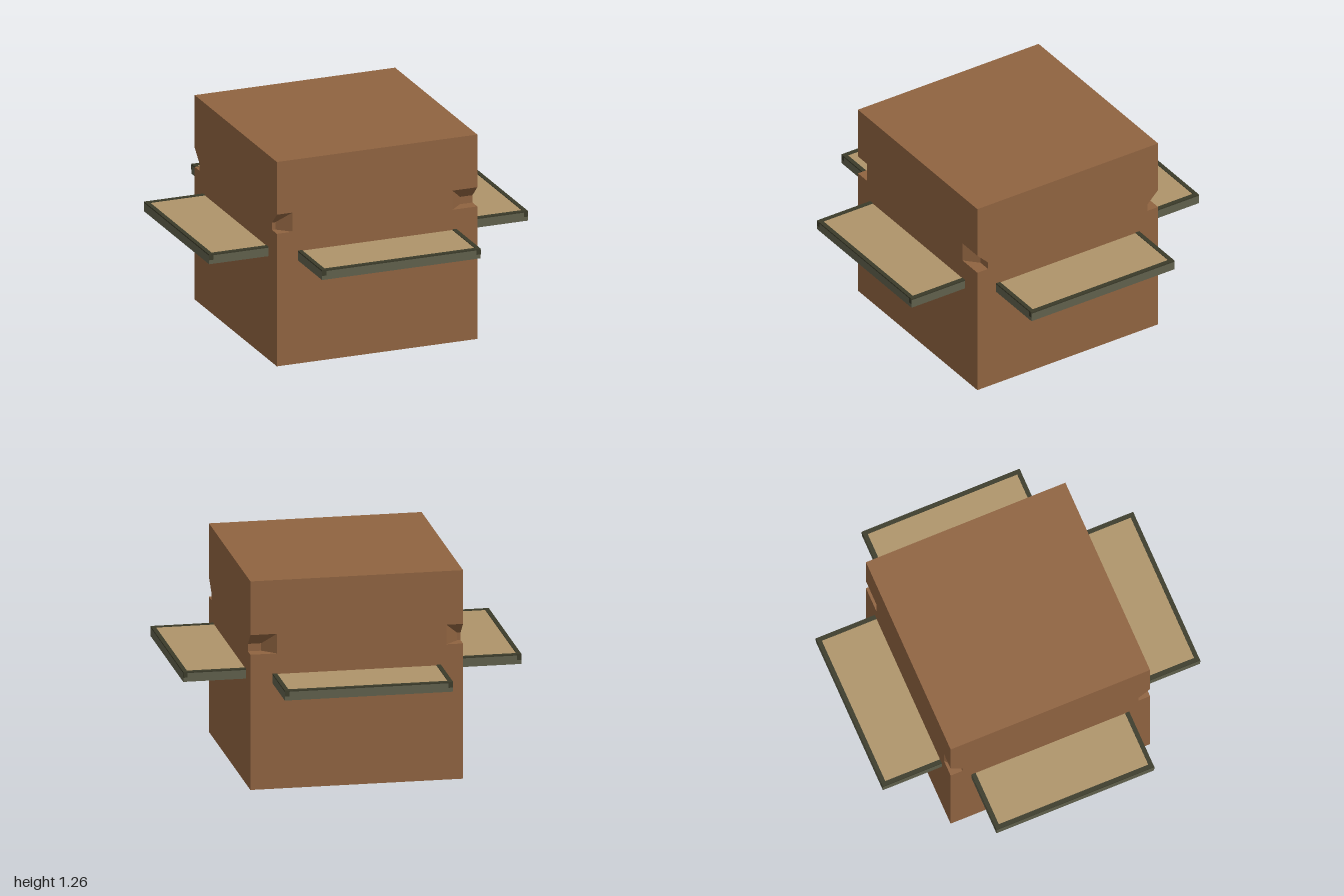
import * as THREE from 'three';

const mat = (name, color, extra = {}) => Object.assign(new THREE.MeshStandardMaterial({ color, ...extra }), { name });
const brown = mat('brown', 0x8f6340);
const tan = mat('tan', 0xae946a);
const olive = mat('olive', 0x5f5f4b);
const darkOlive = mat('darkOlive', 0x3b3b2a);

const HALF = 0.628, HEIGHT = 1.257;

// Horizontal outline of the block, with its four corners recessed by depth d
function outline(y, d) {
  const corner = (sx, sz, edge) => {
    const pts = [
      [edge, HALF],
      [edge + d * 1.05, HALF - d],
      [HALF, HALF - d],
    ].map(([x, z]) => new THREE.Vector3(sx * x, y, sz * z));
    return sx * sz > 0 ? pts.reverse() : pts;
  };
  return [
    ...corner(1, 1, 0.472), ...corner(-1, 1, 0.53),
    ...corner(-1, -1, 0.53), ...corner(1, -1, 0.472),
  ];
}

// Block lofted upwards through its outlines, with a flat-floored notch at each corner
function blockGeometry() {
  const rings = [[0, 0], [0.815, 0], [0.815, 0.074], [0.86, 0.074], [0.933, 0], [HEIGHT, 0]]
    .map(([y, d]) => outline(y, d));
  const out = [];
  const tri = (a, b, c) => {
    if (new THREE.Triangle(a, b, c).getArea() > 1e-7) {
      out.push(...a.toArray(), ...b.toArray(), ...c.toArray());
    }
  };
  const n = rings[0].length;
  const last = rings[rings.length - 1];
  const bottom = new THREE.Vector3(0, 0, 0), top = new THREE.Vector3(0, HEIGHT, 0);
  for (let i = 0; i < n; i++) {
    const j = (i + 1) % n;
    for (let r = 0; r < rings.length - 1; r++) {
      const a = rings[r], b = rings[r + 1];
      tri(a[i], b[i], b[j]);
      tri(a[i], b[j], a[j]);
    }
    tri(bottom, rings[0][i], rings[0][j]);
    tri(top, last[j], last[i]);
  }
  const geo = new THREE.BufferGeometry();
  geo.setAttribute('position', new THREE.Float32BufferAttribute(out, 3));
  geo.computeVertexNormals();
  return geo;
}

function box(parent, name, material, size, pos) {
  const mesh = new THREE.Mesh(new THREE.BoxGeometry(...size), material);
  mesh.name = name;
  mesh.position.set(...pos);
  parent.add(mesh);
}

// Shelf reaching out towards +z: slab, tan surface and dark rim
function shelf(name, turn, endsOnSides) {
  const g = new THREE.Group();
  g.name = name;
  const w = 0.497, inner = HALF - 0.02, outer = 0.999, rim = 0.026;
  const len = outer - inner, mid = (outer + inner) / 2;
  box(g, 'shelfSlab', olive, [2 * w, 0.052, len], [0, 0.661, mid]);
  box(g, 'shelfSurface', tan, [2 * (w - rim), 0.004, len - rim], [0, 0.689, mid - rim / 2]);
  box(g, 'outerRim', darkOlive, [2 * w, 0.008, rim], [0, 0.691, outer - rim / 2]);
  for (const s of [-1, 1]) {
    box(g, 'sideRim', darkOlive, [rim, 0.008, len - rim], [s * (w - rim / 2), 0.691, mid - rim / 2]);
    // Dark ends of the rim strips
    if (endsOnSides) box(g, 'rimEnd', darkOlive, [0.002, 0.03, rim], [s * w, 0.675, outer - rim / 2]);
    else box(g, 'rimEnd', darkOlive, [rim, 0.03, 0.002], [s * (w - rim / 2), 0.675, outer]);
  }
  g.rotation.y = turn * Math.PI / 2;
  return g;
}

export function createModel() {
  const model = new THREE.Group();
  model.name = 'blockWithShelves';
  const block = new THREE.Mesh(blockGeometry(), brown);
  block.name = 'block';
  model.add(block);
  ['frontShelf', 'leftShelf', 'backShelf', 'rightShelf'].forEach((name, i) => {
    model.add(shelf(name, i, i % 2 === 1));
  });
  return model;
}
